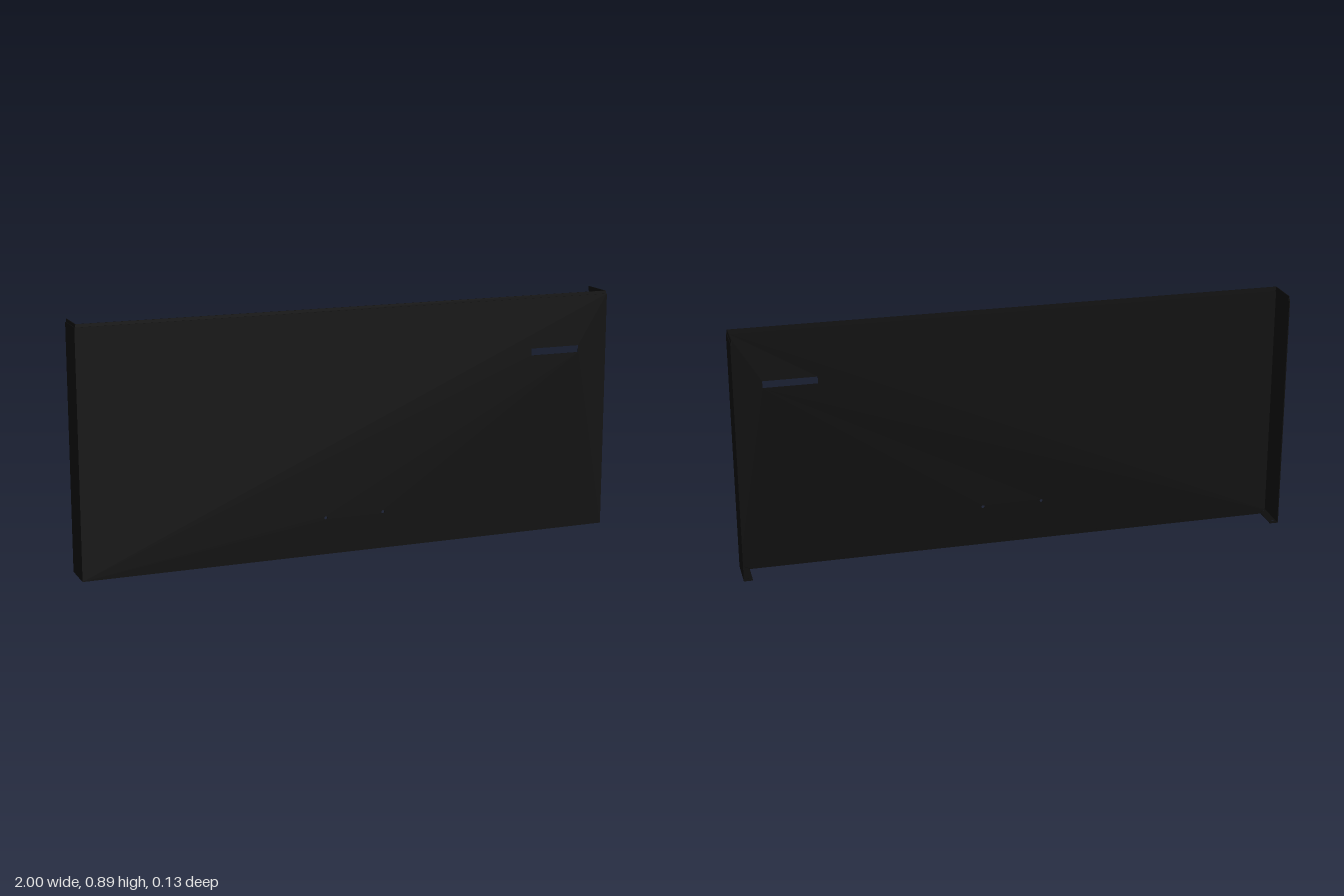
import * as THREE from 'three';

const HALF_W = 1, HALF_D = 0.064, HEIGHT = 0.886, SHOULDER = 0.875;
const SHEET = 0.003, LIP = 0.032;

export function createModel() {
  const group = new THREE.Group();
  const black = new THREE.MeshStandardMaterial({ color: 0x0d0d0d });
  black.name = 'black';

  const add = (name, geometry) => {
    const mesh = new THREE.Mesh(geometry, black);
    mesh.name = name;
    group.add(mesh);
    return mesh;
  };
  const box = (name, w, h, d, x, y, z) =>
    add(name, new THREE.BoxGeometry(w, h, d).translate(x, y, z));
  const outline = (points) => new THREE.Shape(points.map(([x, y]) => new THREE.Vector2(x, y)));
  const roundHole = (x, y, r) => new THREE.Path().absarc(x, y, r, 0, Math.PI * 2, true);
  const plate = (shape) =>
    new THREE.ExtrudeGeometry(shape, { depth: SHEET, bevelEnabled: false, curveSegments: 8 });

  // Front panel with the handle slot and two screw holes
  const panel = outline([[-HALF_W, 0], [HALF_W, 0], [HALF_W, SHOULDER], [-HALF_W, SHOULDER]]);
  panel.holes.push(
    outline([[0.693, 0.664], [0.693, 0.69], [0.886, 0.69], [0.886, 0.664]]),
    roundHole(-0.113, 0.134, 0.006),
    roundHole(0.107, 0.134, 0.006)
  );
  add('frontPanel', plate(panel).translate(0, 0, HALF_D - SHEET));

  // Top edge set back by one sheet thickness
  const bandH = HEIGHT - SHOULDER + 0.006;
  const bandY = HEIGHT - bandH / 2;
  box('frontTopEdge', 2 * (HALF_W - SHEET), bandH, SHEET, 0, bandY, HALF_D - SHEET * 1.5);

  // Bottom lip of the front, mitred at both ends (shape y becomes z)
  const gap = 0.002;
  const flat = (shape) => plate(shape).rotateX(Math.PI / 2).translate(0, SHEET, 0);
  const frontLip = outline([
    [-HALF_W + gap, HALF_D], [-HALF_W + LIP + gap, HALF_D - LIP],
    [HALF_W - LIP - gap, HALF_D - LIP], [HALF_W - gap, HALF_D]
  ]);
  for (const x of [-0.65, -0.32, 0, 0.32, 0.65]) {
    frontLip.holes.push(roundHole(x, HALF_D - LIP / 2, 0.003));
  }
  add('frontBottomLip', flat(frontLip));

  // Side flanges with their own top edges and bottom lips
  for (const [side, s] of [['left', 1], ['right', -1]]) {
    box(side + 'Flange', SHEET, SHOULDER, 2 * HALF_D - SHEET,
      s * (HALF_W - SHEET / 2), SHOULDER / 2, -SHEET / 2);
    box(side + 'TopEdge', SHEET, bandH, 2 * HALF_D - SHEET,
      s * (HALF_W - SHEET * 1.5), bandY, -SHEET / 2);
    const sideLip = outline([
      [s * HALF_W, -HALF_D], [s * HALF_W, HALF_D - gap],
      [s * (HALF_W - LIP), HALF_D - LIP - gap], [s * (HALF_W - LIP), -HALF_D]
    ]);
    sideLip.holes.push(roundHole(s * (HALF_W - LIP / 2), -0.05, 0.003));
    add(side + 'BottomLip', flat(sideLip));
  }
  return group;
}
